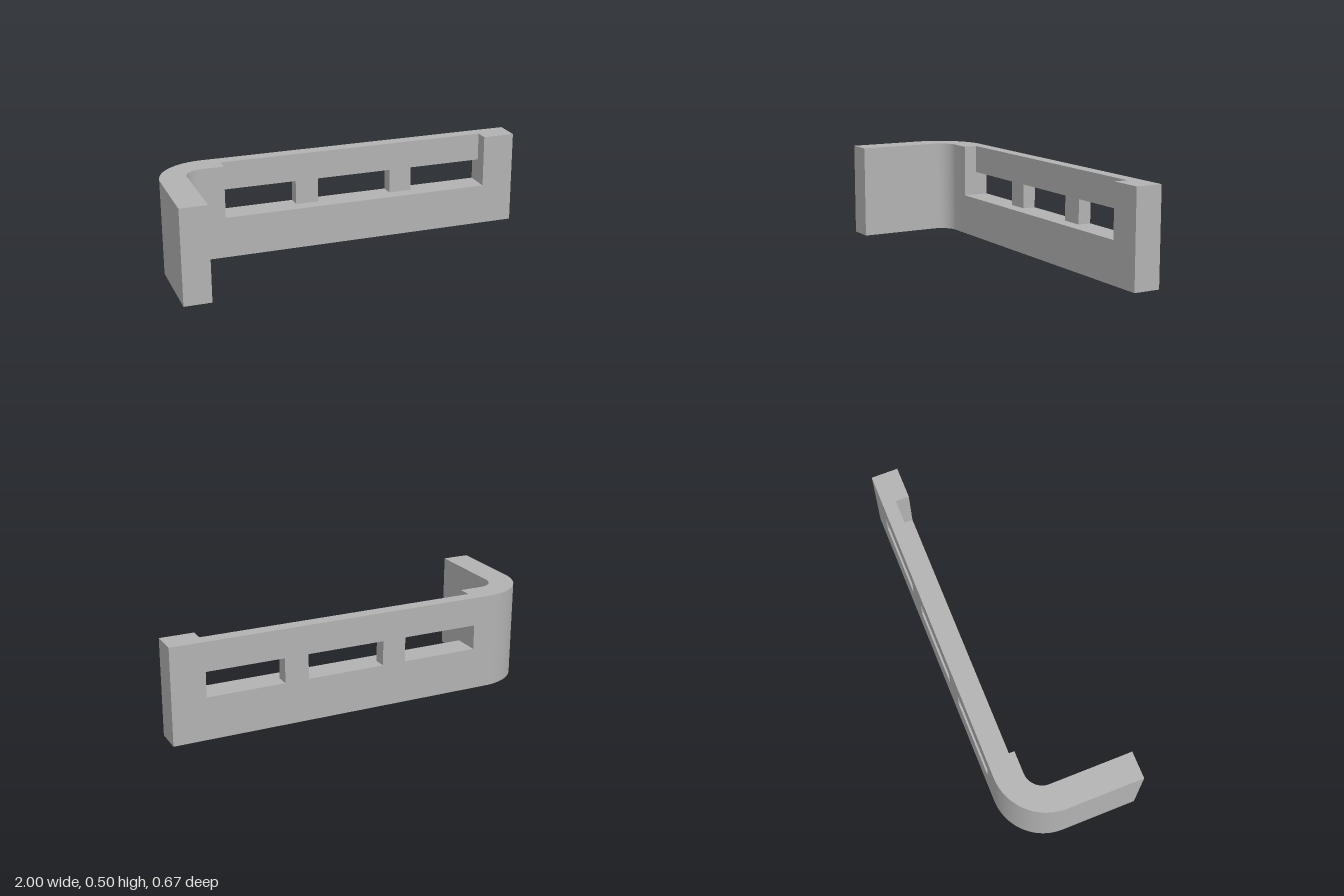
import * as THREE from 'three';
import { toCreasedNormals } from 'three/addons/utils/BufferGeometryUtils.js';

const HEIGHT = 0.5;
const BACK = -0.335, RECESS = -0.265, FACE = -0.193, FRONT = 0.335; // z planes
const SEAM = -0.68; // where the bend meets the straight wall
const LEDGE = 0.22, LINTEL = 0.35; // window bottom and top
const RECESS_X = [-0.645, 0.825];
const WINDOWS = [[-0.645, -0.24], [-0.115, 0.295], [0.42, 0.825]];

function polygon(points, Type = THREE.Shape) {
  return new Type(points.map(([x, y]) => new THREE.Vector2(x, y)));
}

function extrude(shape, depth) {
  const geometry = new THREE.ExtrudeGeometry(shape, { depth, bevelEnabled: false, curveSegments: 32 });
  return toCreasedNormals(geometry, 0.4);
}

export function createModel() {
  const group = new THREE.Group();
  group.name = 'slottedBracket';
  const grey = new THREE.MeshStandardMaterial({ color: 0xb2b2b2 });
  grey.name = 'grey';

  const add = (name, geometry) => {
    const mesh = new THREE.Mesh(geometry, grey);
    mesh.name = name;
    group.add(mesh);
    return mesh;
  };

  // Side arm and rounded corner, drawn in plan (shape y = -z) and raised
  const outer = 0.27, inner = 0.095, armX = -0.858;
  const plan = new THREE.Shape();
  plan.moveTo(-1, -FRONT);
  plan.lineTo(armX, -FRONT);
  plan.lineTo(armX, -FACE - inner);
  plan.absarc(armX + inner, -FACE - inner, inner, Math.PI, Math.PI / 2, true);
  plan.lineTo(SEAM, -FACE);
  plan.lineTo(SEAM, -BACK);
  plan.lineTo(-1 + outer, -BACK);
  plan.absarc(-1 + outer, -BACK - outer, outer, Math.PI / 2, Math.PI, false);
  plan.closePath();
  add('sideArmAndBend', extrude(plan, HEIGHT).rotateX(-Math.PI / 2));

  // Rear layer of the wall, with three windows
  const panel = polygon([[SEAM, 0], [1, 0], [1, HEIGHT], [SEAM, HEIGHT]]);
  for (const [a, b] of WINDOWS) {
    panel.holes.push(polygon([[a, LEDGE], [a, LINTEL], [b, LINTEL], [b, LEDGE]], THREE.Path));
  }
  add('windowPanel', extrude(panel, RECESS - BACK)).position.z = BACK;

  // Front layer of the wall, cut away above the ledge
  const [l, r] = RECESS_X;
  const frame = polygon([
    [SEAM, 0], [1, 0], [1, HEIGHT], [r, HEIGHT],
    [r, LEDGE], [l, LEDGE], [l, HEIGHT], [SEAM, HEIGHT],
  ]);
  add('recessFrame', extrude(frame, FACE - RECESS)).position.z = RECESS;

  return group;
}
